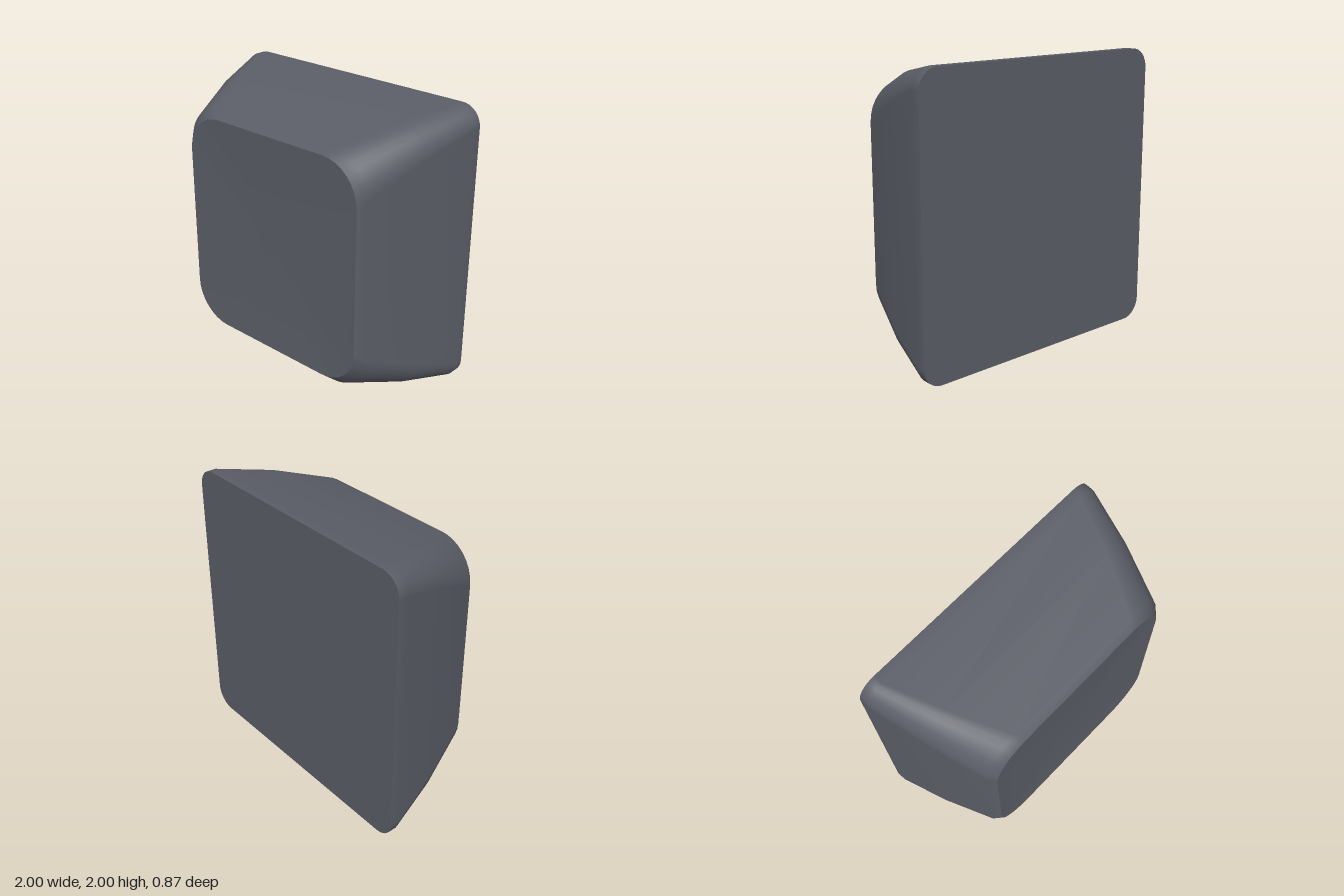
import * as THREE from 'three';

const CORNER_STEPS = 8;

// Rounded rectangle outline, counter-clockwise seen from +z
function outline([z, halfW, halfH, r]) {
  const points = [];
  for (let corner = 0; corner < 4; corner++) {
    const sx = corner === 0 || corner === 3 ? 1 : -1;
    const sy = corner < 2 ? 1 : -1;
    for (let i = 0; i <= CORNER_STEPS; i++) {
      const a = (corner + i / CORNER_STEPS) * Math.PI / 2;
      points.push([sx * (halfW - r) + r * Math.cos(a), 1 + sy * (halfH - r) + r * Math.sin(a), z]);
    }
  }
  return points;
}

function geometryFrom(points, index) {
  const geo = new THREE.BufferGeometry();
  geo.setAttribute('position', new THREE.Float32BufferAttribute(points.flat(), 3));
  geo.setIndex(index);
  geo.computeVertexNormals();
  return geo;
}

// Smooth skin through a row of outlines
function loft(rings) {
  const n = rings[0].length, index = [];
  for (let i = 0; i < rings.length - 1; i++) {
    for (let j = 0; j < n; j++) {
      const a = i * n + j, b = i * n + (j + 1) % n;
      index.push(a, b, b + n, a, b + n, a + n);
    }
  }
  return geometryFrom(rings.flat(), index);
}

// Fan from an outline to a centre point
function fan(ring, centreZ, facesFront) {
  const n = ring.length, index = [];
  for (let j = 0; j < n; j++) {
    const k = (j + 1) % n;
    index.push(n, facesFront ? j : k, facesFront ? k : j);
  }
  return geometryFrom([...ring, [0, 1, centreZ]], index);
}

export function createModel() {
  const group = new THREE.Group();
  group.name = 'keycap';
  const charcoal = new THREE.MeshStandardMaterial({ color: 0x5a5d66 });
  charcoal.name = 'charcoal plastic';

  // z, half width, half height, corner radius
  const rings = [
    [-0.435, 1, 1, 0.14],
    [-0.37, 1, 1, 0.14],
    [0, 0.91, 0.935, 0.2],
    [0.38, 0.79, 0.83, 0.27],
    [0.435, 0.743, 0.787, 0.28],
  ].map(outline);

  const add = (name, geo) => {
    const mesh = new THREE.Mesh(geo, charcoal);
    mesh.name = name;
    group.add(mesh);
  };
  add('taperedSides', loft(rings));
  add('dishedFace', fan(rings[4], 0.395, true)); // shallow finger dish
  add('flatBack', fan(rings[0], -0.435, false));
  return group;
}
